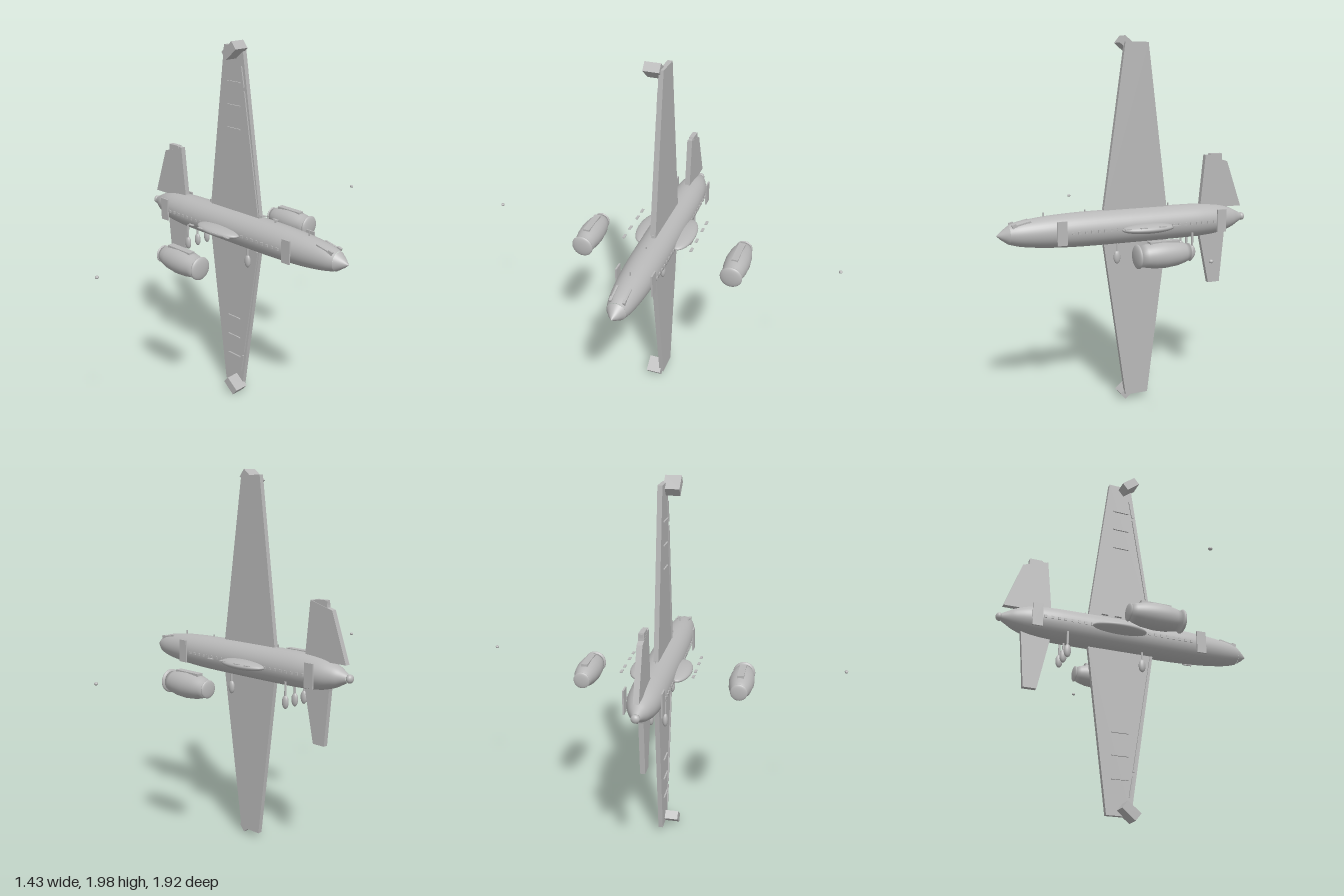
import * as THREE from 'three';

export function createModel() {
  const model = new THREE.Group();
  const grey = new THREE.MeshStandardMaterial({ color: 0xb8b8b8 });
  grey.name = 'light grey';
  const AXIS = 1.005; // height of the fuselage axis

  const add = (name, geometry, x = 0, y = 0, z = 0, rotZ = 0) => {
    const mesh = new THREE.Mesh(geometry, grey);
    mesh.name = name;
    mesh.position.set(x, y, z);
    mesh.rotation.z = rotZ;
    model.add(mesh);
    return mesh;
  };
  const box = (name, w, h, d, x, y, z, rotZ = 0) =>
    add(name, new THREE.BoxGeometry(w, h, d), x, y, z, rotZ);
  const ellipsoid = (name, rx, ry, rz, x, y, z) =>
    add(name, new THREE.SphereGeometry(1, 32, 20).scale(rx, ry, rz), x, y, z);
  // profile of [x, radius] pairs turned around the x axis
  const turned = (name, profile, x, y, z) => {
    const points = profile.map(([px, r]) => new THREE.Vector2(r, px));
    return add(name, new THREE.LatheGeometry(points, 40).rotateZ(-Math.PI / 2), x, y, z);
  };
  // flat plate in the xy plane, thickness along z
  const plate = (name, corners, z0, z1) => {
    const shape = new THREE.Shape(corners.map(([x, y]) => new THREE.Vector2(x, y)));
    const geometry = new THREE.ExtrudeGeometry(shape, { depth: z1 - z0, bevelEnabled: false });
    return add(name, geometry, 0, 0, z0);
  };

  // Fuselage with nose cone and tail ball
  const hull = new THREE.SplineCurve([
    [-0.69, 0.02], [-0.66, 0.036], [-0.62, 0.056], [-0.55, 0.077], [-0.45, 0.088], [-0.3, 0.092],
    [0.2, 0.092], [0.4, 0.086], [0.52, 0.076], [0.6, 0.064], [0.65, 0.05],
  ].map(([x, r]) => new THREE.Vector2(x, r))).getPoints(50).map((p) => [p.x, p.y]);
  turned('fuselage', hull, 0, AXIS, 0);
  turned('noseCone', [[0.65, 0.05], [0.69, 0.022], [0.715, 0]], 0, AXIS - 0.002, 0);
  ellipsoid('tailBall', 0.018, 0.022, 0.022, -0.7, AXIS, 0);

  // Wings, stabilisers and winglets, mirrored above and below the axis
  for (const s of [1, -1]) {
    const up = (pts) => pts.map(([x, y]) => [x, AXIS + s * y]);
    plate('wing', up([[-0.235, 0], [0.155, 0], [0.14, 0.09], [0.015, 0.96], [-0.115, 0.96], [-0.225, 0.09]]), -0.013, 0.012);
    plate('slat', up([[0.133, 0.1], [0.122, 0.1], [0.022, 0.74], [0.033, 0.74]]), 0.01, 0.019);
    plate('outerSlat', up([[0.03, 0.76], [0.02, 0.76], [0.002, 0.865], [0.012, 0.865]]), 0.01, 0.019);
    for (const y of [0.54, 0.66, 0.78]) {
      box('wingFence', 0.09, 0.006, 0.009, -0.045, AXIS + s * y, 0.015);
    }
    box('winglet', 0.09, 0.048, 0.083, -0.01, AXIS + s * 0.945, 0.043, s * 0.69);
    plate('stabiliser', up([[-0.6, 0], [-0.41, 0], [-0.43, 0.08], [-0.49, 0.365], [-0.56, 0.365], [-0.585, 0.08]]), -0.013, 0.013);
  }

  // Tail fin with rudder cap
  plate('fin', [[-0.685, 1.07], [-0.595, 1.325], [-0.46, 1.365], [-0.43, 1.07]], -0.014, 0.014);
  box('finCap', 0.1, 0.035, 0.02, -0.512, 1.347, 0);

  // Parts on both flanks
  for (const s of [1, -1]) {
    ellipsoid('sideFairing', 0.15, 0.026, 0.065, -0.08, 1.0, s * 0.098);
    for (const x of [-0.523, 0.395]) box('door', 0.054, 0.125, 0.008, x, 1.008, s * 0.094);
    for (let i = 0; i < 24; i++) {
      box('cabinWindow', 0.014, 0.014, 0.006, -0.48 + i * 0.0355, AXIS, s * 0.093);
    }
    box('cockpitFrame', 0.1, 0.008, 0.01, 0.59, 1.06, s * 0.035, -0.22);
    box('cockpitWindow', 0.024, 0.018, 0.014, 0.628, 1.053, s * 0.034, -0.3);

    // Engine pod, rings, front disc and pylon
    const z = s * 0.418;
    const y = 0.935;
    turned('engine', [[-0.155, 0], [-0.155, 0.038], [-0.13, 0.049], [-0.09, 0.06], [-0.02, 0.067],
      [0.04, 0.064], [0.08, 0.057], [0.11, 0.05], [0.11, 0]], 0, y, z);
    ellipsoid('intakeRing', 0.017, 0.06, 0.06, 0.119, y, z);
    ellipsoid('exhaustRing', 0.011, 0.045, 0.045, -0.158, y, z);
    box('pylon', 0.16, 0.03, 0.035, -0.02, 0.989, z);

    // Loose flap plates and tip lights
    for (const x of [-0.197, -0.124, -0.017, 0.072]) {
      box('flapPlate', 0.035, 0.004, 0.014, x, 1.022, s * 0.188);
    }
    ellipsoid('tipLight', 0.01, 0.008, 0.009, 0.01, 1.025, s * 0.953);
  }

  // Landing gear: [x, z] of each wheel
  for (const [x, z] of [[-0.355, -0.072], [-0.355, 0], [-0.355, 0.072], [0.072, 0.03], [0.072, -0.03]]) {
    ellipsoid('wheel', 0.019, 0.036, 0.014, x, 0.843, z);
    add('strut', new THREE.CylinderGeometry(0.006, 0.006, 0.08, 12), x, 0.91, z);
  }

  // Antennas along the spine
  for (const [x, y] of [[-0.24, 1.1], [-0.04, 1.098], [0.14, 1.1], [0.24, 1.095], [0.465, 1.094]]) {
    box('antenna', 0.006, 0.026, 0.006, x, y, 0);
  }
  return model;
}
